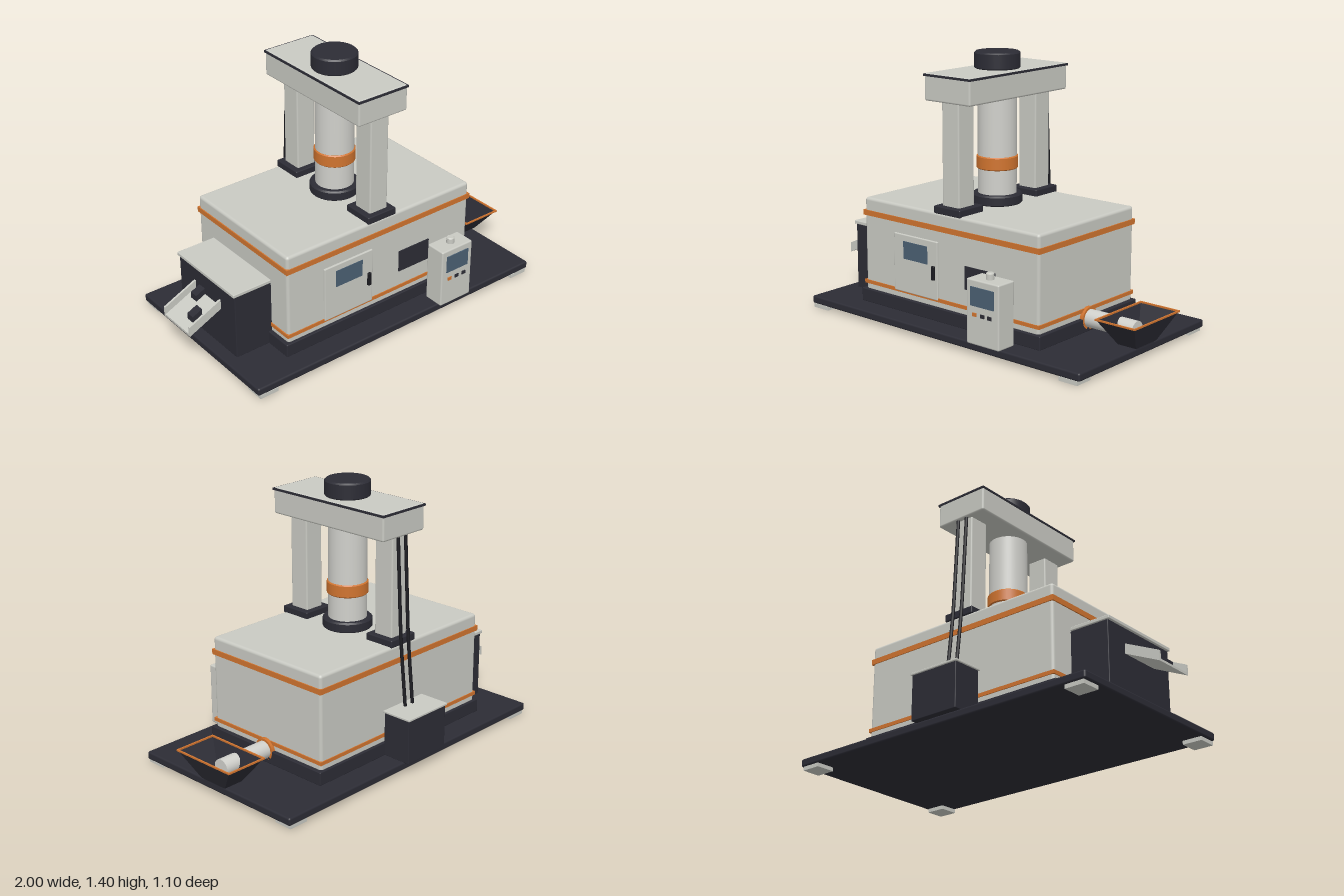
import * as THREE from 'three';
import { RoundedBoxGeometry } from 'three/addons/geometries/RoundedBoxGeometry.js';

export function createModel() {
  const model = new THREE.Group();
  model.name = 'press';

  const paint = (name, color, side = THREE.FrontSide) => {
    const m = new THREE.MeshStandardMaterial({ color, side });
    m.name = name;
    return m;
  };
  const light = paint('light grey', 0xc9cac3);
  const dark = paint('charcoal', 0x2c2c35);
  const darkSheet = paint('charcoal sheet', 0x2c2c35, THREE.DoubleSide);
  const orange = paint('orange', 0xd0742f);
  const glass = paint('blue glass', 0x4b6073);
  const black = paint('black rubber', 0x1a1a1f);
  const steel = paint('pale steel', 0xd0d0cb);

  const add = (name, geometry, material, x = 0, y = 0, z = 0) => {
    const mesh = new THREE.Mesh(geometry, material);
    mesh.name = name;
    mesh.position.set(x, y, z);
    model.add(mesh);
    return mesh;
  };
  // Box given by its limits on each axis, with an optional rounded edge
  const box = (name, mat, [x0, x1], [y0, y1], [z0, z1], r = 0) => {
    const s = [x1 - x0, y1 - y0, z1 - z0];
    const g = r ? new RoundedBoxGeometry(...s, 2, r) : new THREE.BoxGeometry(...s);
    return add(name, g, mat, (x0 + x1) / 2, (y0 + y1) / 2, (z0 + z1) / 2);
  };
  // Upright cylinder with bevelled rims
  const drum = (name, mat, radius, y0, y1, x, z, b = 0.006) => {
    const p = [[0, y0], [radius - b, y0], [radius - b, y0], [radius, y0 + b], [radius, y0 + b],
      [radius, y1 - b], [radius, y1 - b], [radius - b, y1], [radius - b, y1], [0, y1]];
    return add(name, new THREE.LatheGeometry(p.map(([a, h]) => new THREE.Vector2(a, h)), 40), mat, x, 0, z);
  };

  // Base plate on four feet
  box('basePlate', dark, [-0.88, 0.925], [0.02, 0.062], [-0.513, 0.517], 0.01);
  for (const x of [-0.815, 0.858])
    for (const z of [-0.455, 0.465])
      box('foot', light, [x - 0.053, x + 0.053], [0, 0.022], [z - 0.051, z + 0.051]);

  // Main housing
  const cx = -0.0125, cz = 0.004;
  box('plinth', dark, [-0.62, 0.595], [0.06, 0.132], [-0.388, 0.397], 0.005);
  box('housing', light, [-0.6, 0.575], [0.12, 0.625], [-0.375, 0.382], 0.016);
  box('upperBand', orange, [-0.606, 0.581], [0.53, 0.558], [-0.38, 0.387]);
  box('lowerBand', orange, [-0.606, 0.581], [0.16, 0.179], [-0.38, 0.387]);

  // Press column, posts and crossbeam
  drum('columnBase', dark, 0.129, 0.622, 0.678, cx, cz, 0.008);
  add('column', new THREE.CylinderGeometry(0.1, 0.1, 0.53, 40), steel, cx, 0.925, cz);
  drum('columnBand', orange, 0.107, 0.805, 0.873, cx, cz, 0.005);
  for (const s of [-1, 1]) {
    const z = cz + s * 0.295;
    box('postPad', dark, [cx - 0.088, cx + 0.088], [0.62, 0.66], [z - 0.087, z + 0.087], 0.006);
    box('post', light, [cx - 0.056, cx + 0.056], [0.65, 1.185], [z - 0.057, z + 0.057], 0.008);
  }
  box('crossbeam', light, [-0.163, 0.138], [1.18, 1.318], [-0.371, 0.379], 0.01);
  box('beamTrim', dark, [-0.167, 0.142], [1.303, 1.314], [-0.375, 0.383]);
  drum('motorCap', dark, 0.117, 1.315, 1.403, cx, cz, 0.008);

  // Door with window and handle, and the dark inspection panel
  box('door', light, [-0.38, -0.075], [0.168, 0.474], [0.37, 0.392], 0.005);
  box('doorWindow', glass, [-0.31, -0.143], [0.347, 0.44], [0.39, 0.395]);
  box('doorHandle', black, [-0.11, -0.09], [0.273, 0.346], [0.388, 0.404], 0.004);
  box('inspectionPanel', dark, [0.105, 0.305], [0.265, 0.385], [0.38, 0.388]);

  // Control console
  box('console', light, [0.26, 0.465], [0.065, 0.392], [0.43, 0.545], 0.008);
  box('consoleScreen', glass, [0.29, 0.435], [0.262, 0.357], [0.543, 0.55]);
  [[0.314, orange], [0.363, dark], [0.41, dark]].forEach(([x, m]) =>
    box('consoleButton', m, [x - 0.012, x + 0.012], [0.21, 0.228], [0.543, 0.55]));
  drum('consoleBeacon', light, 0.021, 0.385, 0.425, 0.363, 0.488, 0.004);
  add('consoleCable', new THREE.CylinderGeometry(0.011, 0.011, 0.06, 16), black, 0.363, 0.11, 0.413)
    .rotation.x = Math.PI / 2;

  // Feed tube and its flange
  const tube = (name, mat, r, x0, x1) =>
    add(name, new THREE.CylinderGeometry(r, r, x1 - x0, 32), mat, (x0 + x1) / 2, 0.127, cz)
      .rotation.z = Math.PI / 2;
  tube('feedFlange', orange, 0.058, 0.57, 0.595);
  tube('feedTube', steel, 0.046, 0.58, 0.88);

  // Open hopper: two rectangular rings joined by sloping walls, plus a floor
  const ring = (x0, x1, y, d) => [[x0, y, cz - d], [x1, y, cz - d], [x1, y, cz + d], [x0, y, cz + d]];
  const low = ring(0.828, 0.934, 0.067, 0.085), high = ring(0.768, 0.993, 0.202, 0.185);
  const pos = [];
  const quad = (a, b, c, d) => pos.push(...a, ...b, ...c, ...a, ...c, ...d);
  for (let i = 0; i < 4; i++) {
    const j = (i + 1) % 4;
    quad(low[j], low[i], high[i], high[j]);
  }
  quad(...low);
  const hopper = new THREE.BufferGeometry();
  hopper.setAttribute('position', new THREE.Float32BufferAttribute(pos, 3));
  hopper.computeVertexNormals();
  add('hopper', hopper, darkSheet);
  box('hopperFloor', dark, [0.83, 0.932], [0.06, 0.085], [cz - 0.07, cz + 0.07]);
  for (const s of [-1, 1]) {
    const x = 0.881 + s * 0.1125, z = cz + s * 0.185;
    box('hopperRim', orange, [x - 0.004, x + 0.004], [0.198, 0.206], [cz - 0.189, cz + 0.189]);
    box('hopperRim', orange, [0.7725, 0.9895], [0.198, 0.206], [z - 0.004, z + 0.004]);
  }

  // Outlet box and sloping chute
  box('outletBox', dark, [-0.814, -0.595], [0.06, 0.418], [-0.241, 0.244], 0.004);
  box('outletLid', light, [-0.824, -0.601], [0.417, 0.436], [-0.247, 0.25], 0.004);
  const slope = (x) => 0.2 + (x + 1) * 0.46; // underside height of the chute
  const slanted = (name, mat, x0, x1, lift, h, z0, z1) => {
    const shape = new THREE.Shape([[x0, 0], [x1, 0], [x1, h], [x0, h]]
      .map(([x, y]) => new THREE.Vector2(x, slope(x) + lift + y)));
    add(name, new THREE.ExtrudeGeometry(shape, { depth: z1 - z0, bevelEnabled: false }), mat, 0, 0, z0);
  };
  slanted('chuteFloor', light, -1, -0.805, 0, 0.012, -0.1, 0.108);
  slanted('chuteSide', light, -1, -0.805, 0, 0.052, -0.112, -0.1);
  slanted('chuteSide', light, -1, -0.805, 0, 0.052, 0.108, 0.12);
  slanted('pellet', dark, -0.95, -0.895, 0.01, 0.035, 0.026, 0.074);
  slanted('pellet', dark, -0.866, -0.812, 0.01, 0.035, -0.068, -0.02);

  // Rear tank with a pair of hoses to the crossbeam
  box('rearTank', dark, [-0.153, 0.128], [0.06, 0.297], [-0.543, -0.382], 0.004);
  box('rearTankLid', light, [-0.16, 0.134], [0.294, 0.306], [-0.55, -0.378], 0.003);
  for (const x of [-0.04, 0.015]) {
    const path = new THREE.CatmullRomCurve3([[1.18, -0.358], [0.92, -0.371], [0.65, -0.386], [0.3, -0.42]]
      .map(([y, z]) => new THREE.Vector3(x, y, z)));
    add('hose', new THREE.TubeGeometry(path, 20, 0.009, 10), black);
  }

  return model;
}
